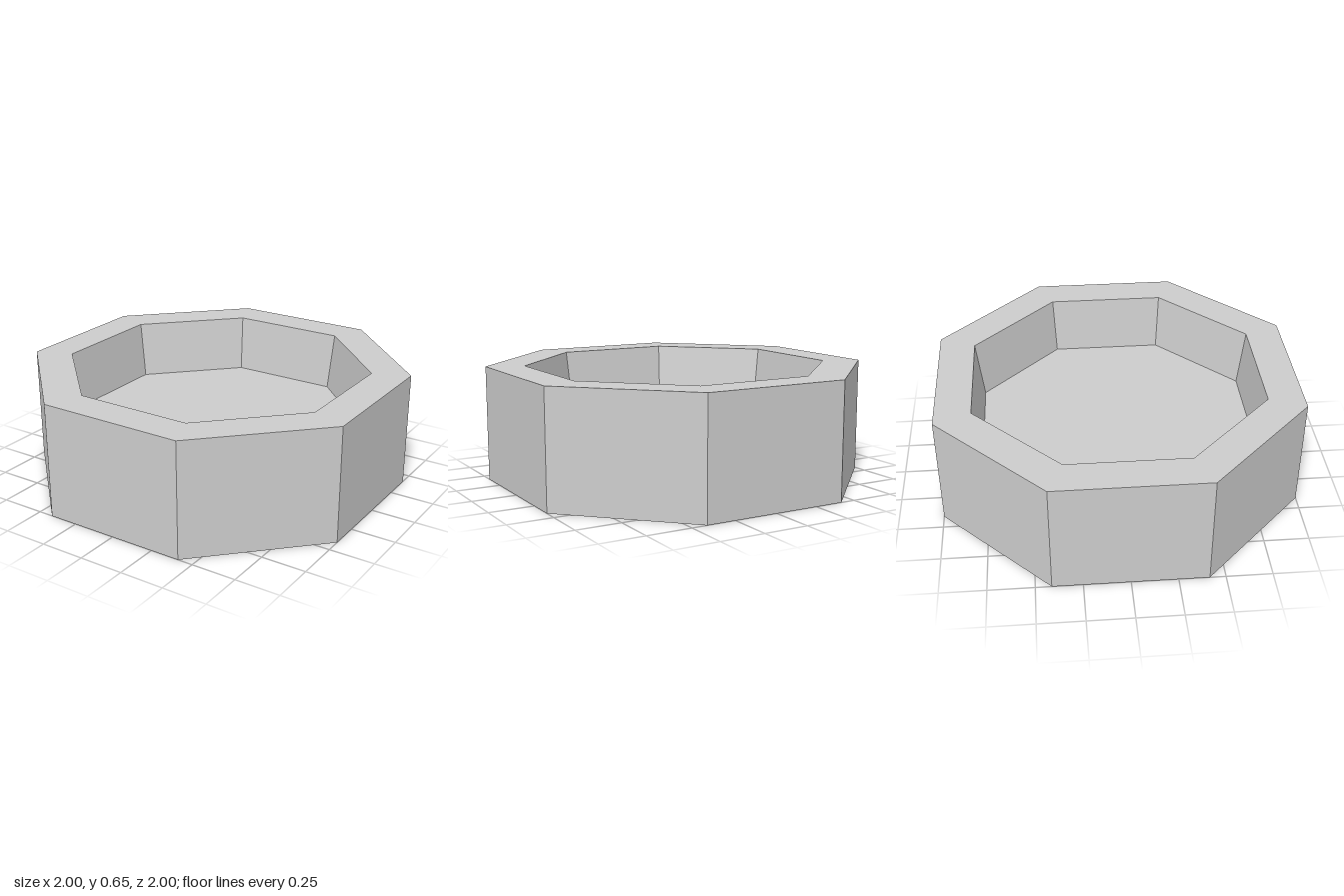
import * as THREE from 'three';

export function createModel() {
  const group = new THREE.Group();
  group.name = 'octagonalBasin';
  const grey = new THREE.MeshStandardMaterial({ color: 0xcccccc, flatShading: true });
  grey.name = 'light grey';

  // Profile of distance to the flat side and height, from underside centre to floor centre
  const sides = 8;
  const toCorner = 1 / Math.cos(Math.PI / sides);
  const profile = [[0, 0], [1, 0], [1, 0.65], [0.8, 0.65], [0.76, 0.325], [0, 0.325]]
    .map(([r, y]) => new THREE.Vector2(r * toCorner, y));

  // Solid eight-sided block with a tapered recess, flat sides facing the axes
  const basin = new THREE.Mesh(new THREE.LatheGeometry(profile, sides, Math.PI / sides), grey);
  basin.name = 'basin';
  group.add(basin);
  return group;
}
